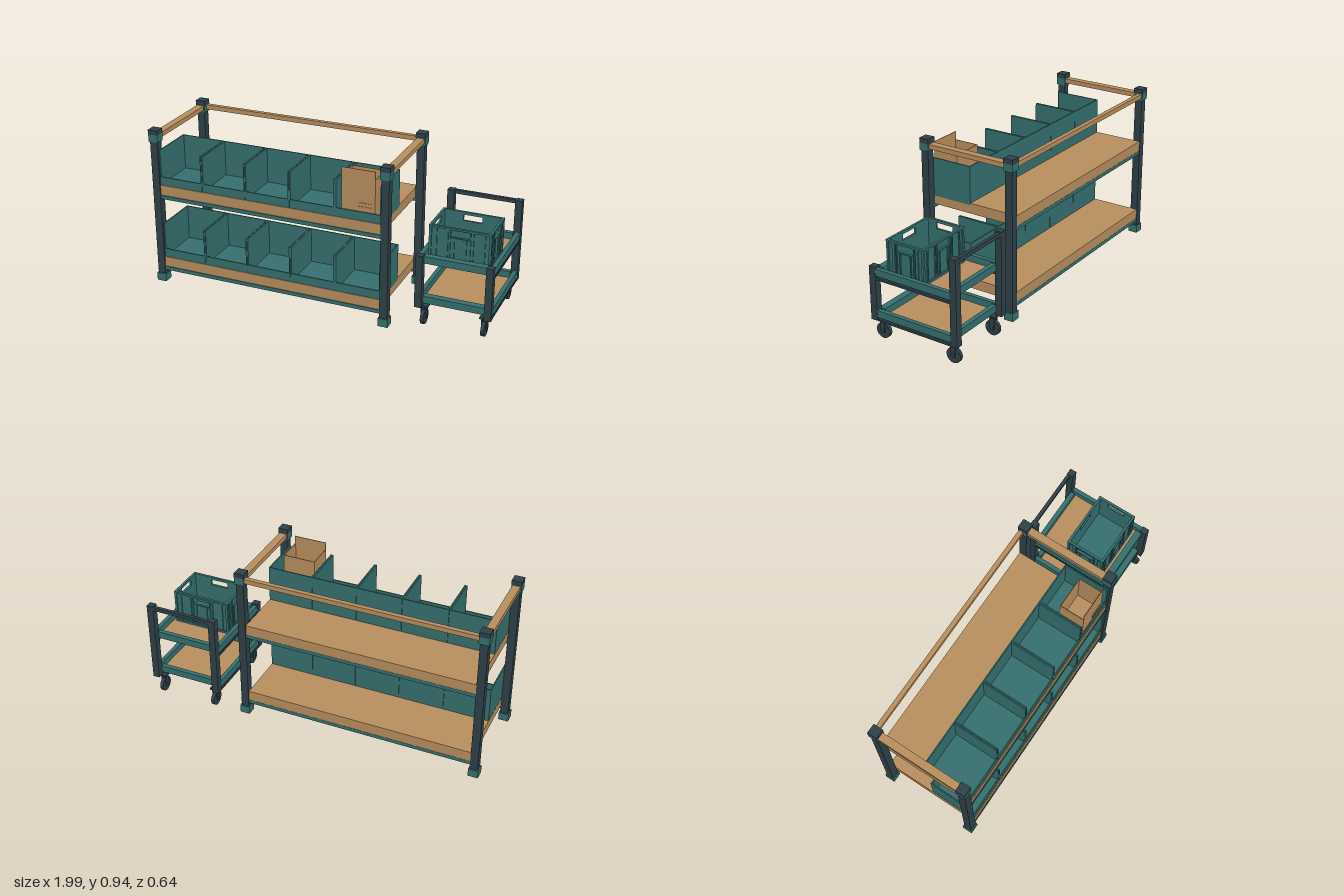
import * as THREE from 'three';

const mat = (name, color, side = THREE.FrontSide) => {
  const m = new THREE.MeshStandardMaterial({ color, side });
  m.name = name;
  return m;
};

export function createModel() {
  const teal = mat('teal', 0x35706f);
  const wood = mat('wood', 0xb88f5e);
  const dark = mat('darkSteel', 0x2f4148);
  const model = new THREE.Group();
  model.name = 'storageRackAndCart';

  const group = (name, parent = model) => {
    const g = new THREE.Group();
    g.name = name;
    parent.add(g);
    return g;
  };
  // Box given by its minimum and maximum on each axis
  const box = (parent, name, m, x0, x1, y0, y1, z0, z1) => {
    const mesh = new THREE.Mesh(new THREE.BoxGeometry(x1 - x0, y1 - y0, z1 - z0), m);
    mesh.position.set((x0 + x1) / 2, (y0 + y1) / 2, (z0 + z1) / 2);
    mesh.name = name;
    parent.add(mesh);
    return mesh;
  };
  // Square column piece centred on x, z
  const column = (parent, name, m, x, z, w, y0, y1) =>
    box(parent, name, m, x - w / 2, x + w / 2, y0, y1, z - w / 2, z + w / 2);

  // Rack posts with feet, collars and caps
  const rack = group('rack');
  const L = -0.969, R = 0.415, F = 0.29, B = -0.253;
  for (const x of [L, R]) {
    for (const z of [F, B]) {
      column(rack, 'post', dark, x, z, 0.045, 0.048, 0.867);
      column(rack, 'foot', teal, x, z, 0.058, 0, 0.048);
      column(rack, 'collar', teal, x, z, 0.057, 0.865, 0.909);
      column(rack, 'cap', dark, x, z, 0.058, 0.909, 0.936);
    }
    box(rack, 'topSideRail', wood, x - 0.022, x + 0.022, 0.88, 0.907, B + 0.025, F - 0.025);
  }
  box(rack, 'topBackRail', wood, L + 0.025, R - 0.025, 0.88, 0.907, -0.275, -0.249);

  // Shelves, each with a row of five open-topped bins
  const x0 = -0.947, x1 = 0.392, bins = 5, pitch = (x1 - x0) / bins;
  for (const y of [0.155, 0.605]) {
    const shelf = group('shelf', rack);
    box(shelf, 'shelfBoard', wood, x0, x1 - 0.002, y - 0.06, y, -0.272, 0.305);
    for (const z of [F, B])
      box(shelf, 'shelfRail', teal, x0, x1, y - 0.082, y - 0.06, z - 0.02, z + 0.02);

    for (let i = 0; i < bins; i++) {
      const bin = group('bin', shelf);
      const a = x0 + i * pitch + 0.001, b = a + pitch - 0.002, t = 0.007;
      const top = y + 0.211, zb = 0.027, zf = 0.301;
      box(bin, 'binFloor', teal, a, b, y - 0.011, y + 0.005, zb, zf);
      box(bin, 'binBack', teal, a, b, y, top, zb, zb + t);
      box(bin, 'binLip', teal, a, b, y, y + 0.05, zf - t, zf);
      box(bin, 'binSide', teal, a, a + t, y, top, zb + t, zf);
      box(bin, 'binSide', teal, b - t, b, y, top, zb + t, zf);
    }
  }

  // Open cardboard box with a raised front flap
  const carton = group('carton');
  const c = { l: 0.16, r: 0.352, b: 0.14, f: 0.291, y: 0.612, top: 0.845, t: 0.004 };
  box(carton, 'cartonFloor', wood, c.l, c.r, c.y, c.y + c.t, c.b, c.f);
  box(carton, 'cartonBack', wood, c.l, c.r, c.y, c.top, c.b, c.b + c.t);
  box(carton, 'cartonFront', wood, c.l, c.r, c.y, c.top, c.f - c.t, c.f);
  box(carton, 'cartonFlap', wood, c.l, c.r, c.top, 0.892, c.f - c.t, c.f);
  box(carton, 'cartonSide', wood, c.l, c.l + c.t, c.y, c.top, c.b, c.f);
  box(carton, 'cartonSide', wood, c.r - c.t, c.r, c.y, c.top, c.b, c.f);
  for (const [x, y] of [[0.257, 0.665], [0.296, 0.665], [0.257, 0.686], [0.296, 0.686]])
    box(carton, 'cartonLabel', wood, x, x + 0.036, y, y + 0.018, c.f, c.f + 0.003);

  // Cart, built around its own centre line
  const cart = group('cart');
  cart.position.x = 0.78;
  const front = 0.215, rear = -0.3;
  for (const s of [-1, 1]) {
    column(cart, 'frontPost', dark, s * 0.196, front, 0.04, 0.115, 0.425);
    column(cart, 'rearPost', dark, s * 0.196, rear, 0.04, 0.115, 0.605);
  }
  box(cart, 'handle', dark, -0.178, 0.178, 0.58, 0.602, -0.318, -0.298);

  // Cart trays: teal rim, wooden board and dark runners
  for (const y of [0.135, 0.375]) {
    const tray = group('tray', cart);
    for (const s of [-1, 1]) {
      const rim = box(tray, 'traySideRim', teal, -0.0125, 0.0125, y, y + 0.041, rear + 0.02, front - 0.02);
      rim.position.x = s * 0.202;
      const runner = box(tray, 'trayRunner', dark, -0.015, 0.015, y - 0.023, y - 0.011, rear + 0.02, front - 0.02);
      runner.position.x = s * 0.198;
    }
    box(tray, 'trayFrontRim', teal, -0.178, 0.178, y, y + 0.041, 0.17, 0.21);
    box(tray, 'trayRearRim', teal, -0.178, 0.178, y, y + 0.041, -0.285, -0.258);
    box(tray, 'trayBoard', wood, -0.19, 0.19, y - 0.011, y + 0.003, -0.262, 0.175);
  }

  // Castors
  const wheelGeo = new THREE.CylinderGeometry(0.044, 0.044, 0.02, 24).rotateZ(Math.PI / 2);
  const hubGeo = new THREE.CylinderGeometry(0.012, 0.012, 0.034, 12).rotateZ(Math.PI / 2);
  const stemGeo = new THREE.CylinderGeometry(0.015, 0.015, 0.018, 16);
  for (const x of [-0.171, 0.171]) {
    for (const z of [0.188, -0.27]) {
      const castor = group('castor', cart);
      castor.position.set(x, 0, z);
      const add = (name, geo, y) => {
        const m = new THREE.Mesh(geo, dark);
        m.name = name;
        m.position.y = y;
        castor.add(m);
      };
      add('wheel', wheelGeo, 0.044);
      add('hub', hubGeo, 0.044);
      add('stem', stemGeo, 0.103);
      box(castor, 'castorPlate', dark, -0.025, 0.025, 0.108, 0.118, -0.025, 0.025);
      box(castor, 'forkTop', dark, -0.016, 0.016, 0.09, 0.097, -0.015, 0.015);
      for (const s of [-1, 1])
        box(castor, 'forkArm', dark, s * 0.014 - 0.002, s * 0.014 + 0.002, 0.038, 0.095, -0.015, 0.015);
    }
  }

  // Crate: four ribbed walls with hand holes
  const crate = group('crate', cart);
  crate.position.set(0, 0.378, 0.03);
  const H = 0.202, hw = 0.174, hd = 0.12;
  const wall = (half, offset, angle) => {
    const side = group('crateWall', crate);
    side.rotation.y = angle;
    const shape = new THREE.Shape();
    shape.moveTo(-half, 0).lineTo(half, 0).lineTo(half, H).lineTo(-half, H).closePath();
    const hole = new THREE.Path();
    hole.moveTo(-0.053, 0.15).lineTo(-0.053, 0.186).lineTo(0.053, 0.186).lineTo(0.053, 0.15).closePath();
    shape.holes.push(hole);
    const panel = new THREE.Mesh(new THREE.ExtrudeGeometry(shape, { depth: 0.006, bevelEnabled: false }), teal);
    panel.name = 'cratePanel';
    panel.position.z = offset - 0.014;
    side.add(panel);
    const z0 = offset - 0.01, z1 = offset;
    box(side, 'crateRim', teal, -half, half, H - 0.011, H, z0, z1);
    box(side, 'crateBase', teal, -half, half, 0, 0.012, z0, z1);
    box(side, 'holeSill', teal, -0.059, 0.059, 0.144, 0.15, z0, z1);
    for (const s of [-1, 1]) {
      const rib = (x, w, top) => box(side, 'crateRib', teal, s * x - w / 2, s * x + w / 2, 0.012, top, z0, z1 - 0.002);
      rib(half - 0.006, 0.012, H);
      rib(half - 0.04, 0.009, H);
      rib(0.071, 0.009, H);
      rib(0.056, 0.006, H);
      rib(0.034, 0.006, 0.144);
    }
  };
  wall(hw, hd, 0);
  wall(hw, hd, Math.PI);
  wall(hd - 0.001, hw, Math.PI / 2);
  wall(hd - 0.001, hw, -Math.PI / 2);
  box(crate, 'crateFloor', teal, -hw + 0.01, hw - 0.01, 0.002, 0.01, -hd + 0.01, hd - 0.01);

  return model;
}
